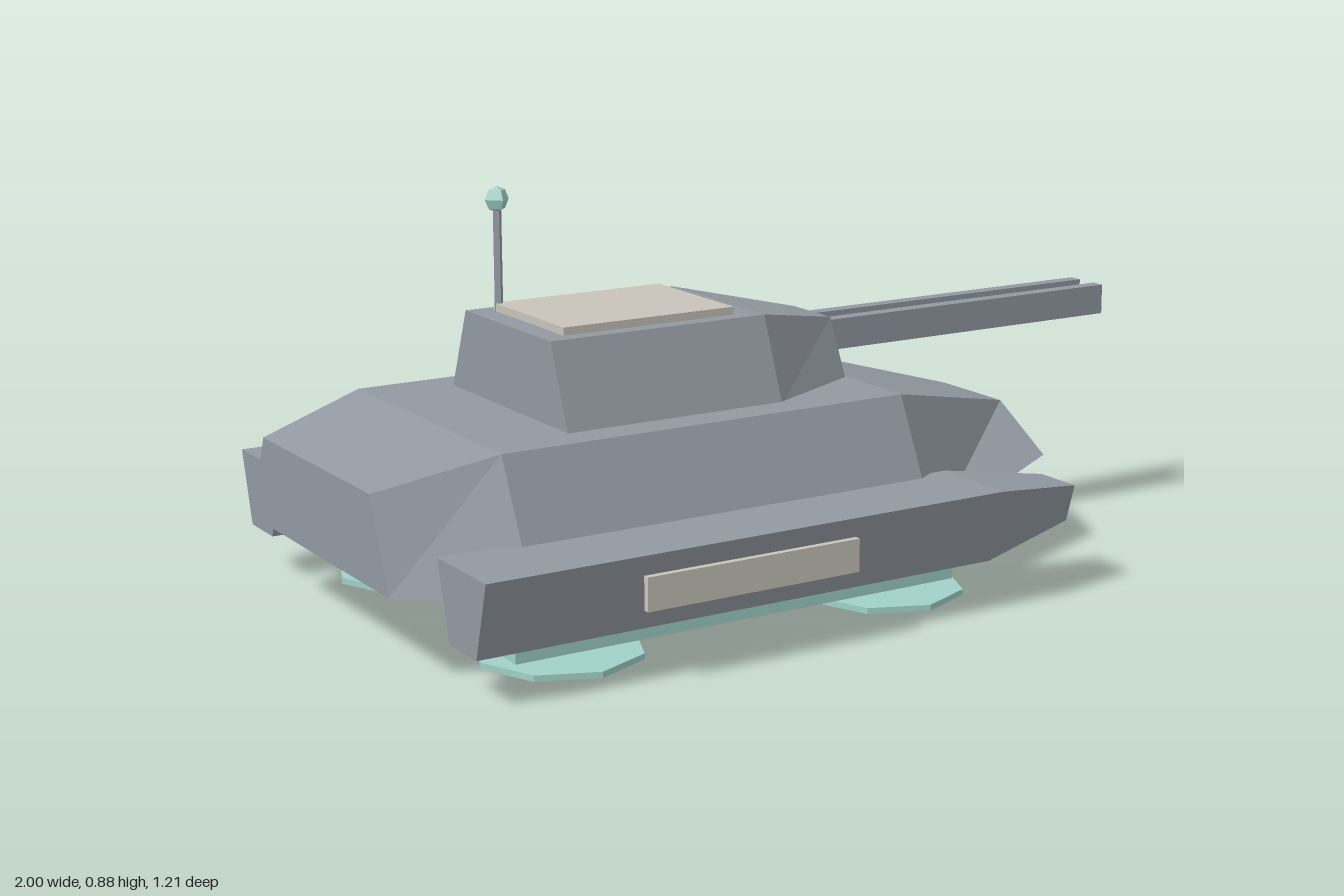
import * as THREE from 'three';

// Solid lofted along x; each section is [x, yBottom, halfWidthBottom, yTop, halfWidthTop]
function loftGeometry(sections) {
  const pos = [], idx = [];
  for (const [x, yb, hb, yt, ht] of sections) {
    pos.push(x, yb, hb, x, yt, ht, x, yt, -ht, x, yb, -hb);
  }
  for (let i = 0; i < sections.length - 1; i++) {
    for (let j = 0; j < 4; j++) {
      const k = (j + 1) % 4, a = i * 4, b = a + 4;
      idx.push(a + j, b + j, b + k, a + j, b + k, a + k);
    }
  }
  const e = (sections.length - 1) * 4;
  idx.push(0, 1, 2, 0, 2, 3, e, e + 2, e + 1, e, e + 3, e + 2);
  const indexed = new THREE.BufferGeometry();
  indexed.setAttribute('position', new THREE.Float32BufferAttribute(pos, 3));
  indexed.setIndex(idx);
  const geo = indexed.toNonIndexed();
  geo.computeVertexNormals();
  return geo;
}

// Box given by its minimum and maximum on each axis
function boxGeometry(x0, x1, y0, y1, z0, z1) {
  return new THREE.BoxGeometry(x1 - x0, y1 - y0, z1 - z0)
    .translate((x0 + x1) / 2, (y0 + y1) / 2, (z0 + z1) / 2);
}

export function createModel() {
  const model = new THREE.Group();
  model.name = 'hoverTank';

  const material = (name, color) => {
    const m = new THREE.MeshStandardMaterial({ color });
    m.name = name;
    m.flatShading = true;
    return m;
  };
  const grey = material('armourGrey', 0x9299a1);
  const mint = material('glowMint', 0xa0d0c8);
  const tan = material('panelTan', 0xc8c4ba);

  const add = (name, geo, mat, parent = model) => {
    const mesh = new THREE.Mesh(geo, mat);
    mesh.name = name;
    parent.add(mesh);
    return mesh;
  };

  // Hull with tapered nose and tail
  add('hull', loftGeometry([
    [-1, 0.18, 0.34, 0.37, 0.265],
    [-0.75, 0.16, 0.465, 0.43, 0.335],
    [0.21, 0.16, 0.465, 0.43, 0.335],
    [0.66, 0.22, 0.27, 0.315, 0.108],
  ]), grey);

  // Turret and roof hatch
  add('turret', loftGeometry([
    [-0.56, 0.425, 0.26, 0.607, 0.19],
    [-0.045, 0.425, 0.26, 0.607, 0.19],
    [0.205, 0.425, 0.135, 0.555, 0.073],
  ]), grey);
  add('roofHatch', boxGeometry(-0.51, -0.1, 0.6, 0.624, -0.155, 0.155), tan);

  // Twin rail gun with glowing core
  add('gunCore', boxGeometry(0.15, 0.94, 0.492, 0.516, -0.027, 0.027), mint);
  for (const s of [1, -1]) {
    add(s > 0 ? 'leftRail' : 'rightRail',
      boxGeometry(0.15, 1, 0.475, 0.544, -0.016, 0.016).translate(0, 0, s * 0.041), grey);
  }

  // Antenna
  const antenna = new THREE.Group();
  antenna.name = 'antenna';
  antenna.position.set(-0.502, 0, -0.147);
  model.add(antenna);
  add('antennaMast', new THREE.CylinderGeometry(0.01, 0.01, 0.25, 4).translate(0, 0.725, 0), grey, antenna);
  add('antennaBall', new THREE.SphereGeometry(0.028, 4, 4).translate(0, 0.848, 0), mint, antenna);

  // Side pods, each with a glow strip, side panel and two hover discs
  for (const s of [1, -1]) {
    const side = s > 0 ? 'left' : 'right';
    add(side + 'Pod', loftGeometry([
      [-0.92, 0.1, 0.057, 0.262, 0.102],
      [0.29, 0.1, 0.057, 0.262, 0.102],
      [0.52, 0.148, 0.031, 0.232, 0.056],
    ]).translate(0, 0, s * 0.492), grey);
    add(side + 'GlowStrip', boxGeometry(-0.83, 0.205, 0.072, 0.11, -0.042, 0.042)
      .translate(0, 0, s * 0.492), mint);
    add(side + 'Panel', boxGeometry(-0.58, -0.085, 0.152, 0.222, -0.007, 0.007)
      .translate(0, 0, s * 0.599), tan);
    for (const [end, x] of [['Rear', -0.627], ['Front', 0.167]]) {
      add(side + end + 'HoverDisc', new THREE.CylinderGeometry(0.177, 0.177, 0.013, 8)
        .translate(x, 0.0065, s * 0.333), mint);
    }
  }

  return model;
}
